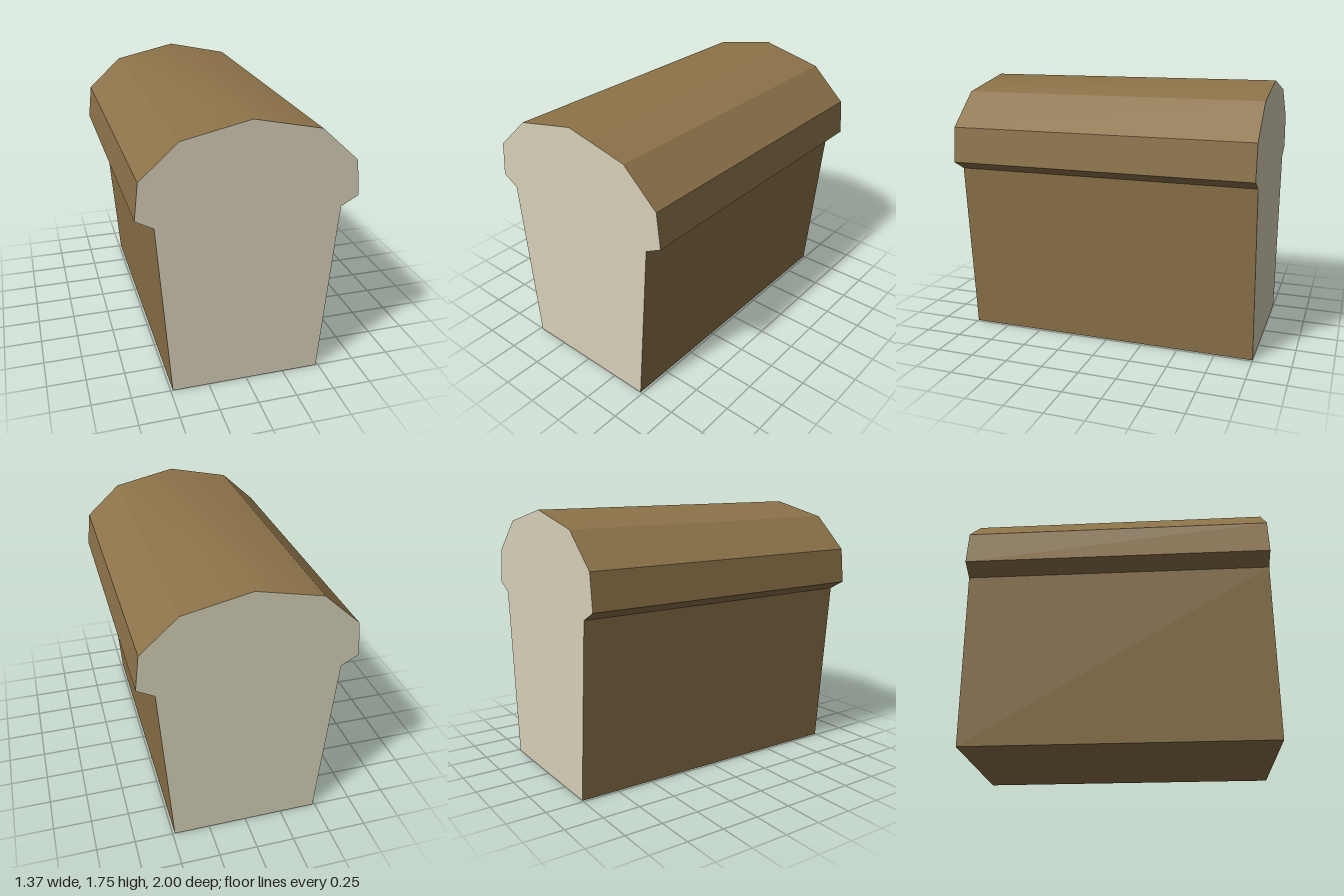
import * as THREE from 'three';
import { toCreasedNormals } from 'three/addons/utils/BufferGeometryUtils.js';

export function createModel() {
  const crumb = new THREE.MeshStandardMaterial({ name: 'crumb', color: 0xd6d0b8 });
  const crust = new THREE.MeshStandardMaterial({ name: 'crust', color: 0x8d7349 });

  // Right half of the loaf's cross-section, from the base up to the overhanging top
  const half = [[0.485, 0], [0.573, 1.15], [0.683, 1.21], [0.657, 1.44], [0.423, 1.655]];
  const mirrored = half.map(([x, y]) => [-x, y]).reverse();
  const outline = [...half, [0, 1.747], ...mirrored].map(([x, y]) => new THREE.Vector2(x, y));

  // Cut ends take the crumb colour, the long outer faces the crust colour
  const geometry = new THREE.ExtrudeGeometry(new THREE.Shape(outline), { depth: 2, bevelEnabled: false });
  geometry.translate(0, 0, -1);

  // Only the shallow ridge along the top is smoothed
  const loaf = new THREE.Mesh(toCreasedNormals(geometry, THREE.MathUtils.degToRad(27)), [crumb, crust]);
  loaf.name = 'breadLoaf';

  const group = new THREE.Group();
  group.name = 'bread';
  group.add(loaf);
  return group;
}
